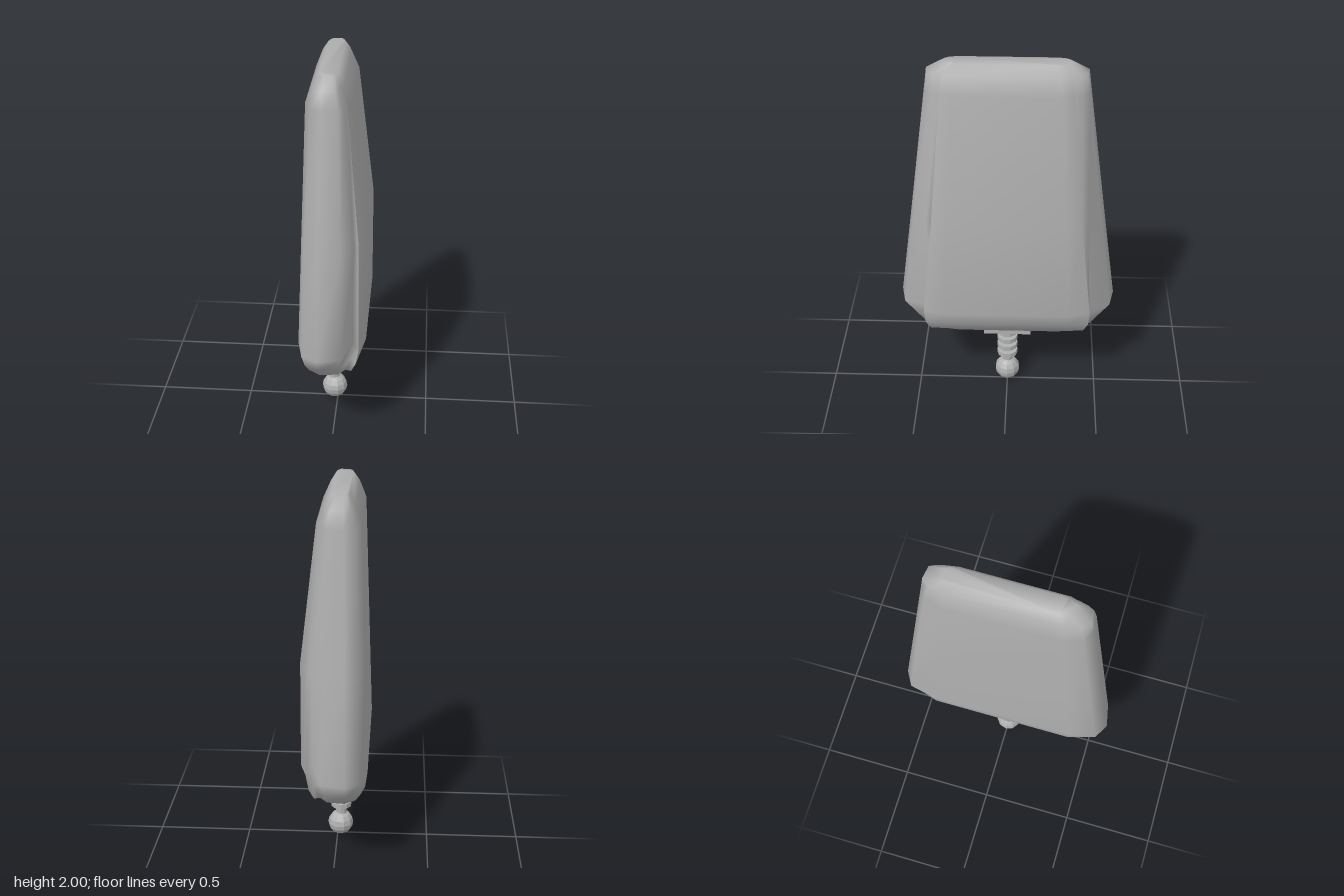
import * as THREE from 'three';

const grey = new THREE.MeshStandardMaterial({ color: 0xb0b0b0 });
grey.name = 'plain grey';

// Half outlines [height, then (x, z) pairs from the -x face round to the +x face].
// The fifth point is the groove, the sixth the edge of the raised +x panel.
const sections = [
  [0.38, -0.09, 0.27, -0.08, 0.30, -0.06, 0.32, 0.01, 0.32, 0.025, 0.31, 0.032, 0.30, 0.04, 0.27],
  [0.44, -0.14, 0.36, -0.115, 0.43, -0.06, 0.47, 0.03, 0.46, 0.08, 0.40, 0.10, 0.42, 0.105, 0.32],
  [0.50, -0.163, 0.39, -0.135, 0.48, -0.065, 0.52, 0.04, 0.50, 0.10, 0.39, 0.125, 0.445, 0.14, 0.33],
  [0.59, -0.175, 0.40, -0.145, 0.54, -0.065, 0.585, 0.057, 0.56, 0.105, 0.38, 0.14, 0.45, 0.172, 0.34],
  [1.15, -0.157, 0.36, -0.135, 0.47, -0.06, 0.508, 0.05, 0.49, 0.11, 0.42, 0.132, 0.39, 0.172, 0.31],
  [1.86, -0.135, 0.29, -0.105, 0.38, -0.05, 0.412, 0.03, 0.405, 0.055, 0.37, 0.07, 0.33, 0.09, 0.27],
  [1.95, -0.10, 0.28, -0.085, 0.36, -0.05, 0.40, 0.015, 0.39, 0.03, 0.36, 0.04, 0.32, 0.05, 0.26],
  [2.00, -0.07, 0.25, -0.06, 0.29, -0.045, 0.31, 0.00, 0.31, 0.01, 0.29, 0.017, 0.27, 0.02, 0.24],
];

// Mirrors each half outline in z and skins the rings; the doubled panel edge stays sharp
function bladeGeometry() {
  const order = [0, 1, 2, 3, 4, 5, 5, 6];
  const n = order.length * 2;
  const positions = [], index = [];
  for (const s of sections) {
    const half = order.map(i => [s[1 + 2 * i], s[2 + 2 * i]]);
    const back = half.map(([x, z]) => [x, -z]).reverse();
    for (const [x, z] of [...half, ...back]) positions.push(x, s[0], z);
  }
  for (let r = 0; r < sections.length - 1; r++) {
    for (let i = 0; i < n; i++) {
      const a = r * n + i, b = r * n + (i + 1) % n;
      index.push(a, b, b + n, a, b + n, a + n);
    }
  }
  const top = (sections.length - 1) * n;
  for (let i = 1; i < n - 1; i++) {
    index.push(top, top + i, top + i + 1);
    index.push(0, i + 1, i);
  }
  const g = new THREE.BufferGeometry();
  g.setAttribute('position', new THREE.Float32BufferAttribute(positions, 3));
  g.setIndex(index);
  g.computeVertexNormals();
  return g;
}

function faceted(geometry) {
  const g = geometry.toNonIndexed();
  g.computeVertexNormals();
  return g;
}

export function createModel() {
  const model = new THREE.Group();
  const add = (name, geometry, x, y) => {
    const mesh = new THREE.Mesh(geometry, grey);
    mesh.name = name;
    mesh.position.set(x, y, 0);
    model.add(mesh);
  };

  add('blade', bladeGeometry(), 0, 0);

  // Mounting plate and stem under the blade
  const cx = -0.02;
  add('mountingPlate', new THREE.BoxGeometry(0.13, 0.035, 0.26), cx - 0.004, 0.373);
  add('stem', faceted(new THREE.CylinderGeometry(0.03, 0.03, 0.27, 10)), cx, 0.245);

  // Evenly spaced collars
  for (let i = 0; i < 4; i++) {
    add('collar', faceted(new THREE.CylinderGeometry(0.058, 0.058, 0.027, 10)), cx, 0.19 + i * 0.051);
  }

  // Ball foot
  add('ballFoot', faceted(new THREE.SphereGeometry(0.07, 10, 8)), cx + 0.003, 0.07);
  return model;
}
